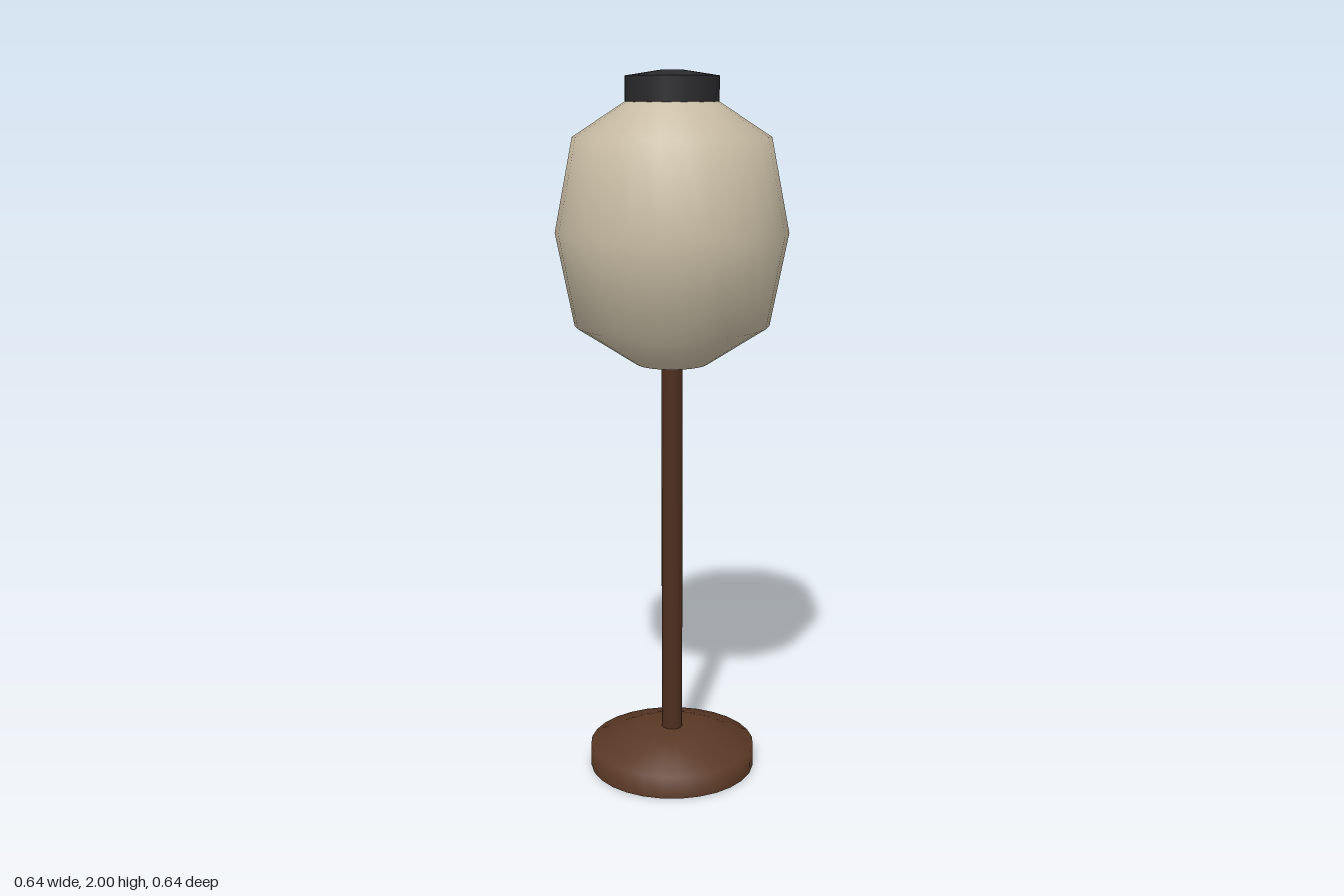
import * as THREE from 'three';

// Revolves [radius, height] points listed from bottom to top
function turned(name, profile, segments, color) {
  const points = profile.map(([r, y]) => new THREE.Vector2(r, y));
  const material = new THREE.MeshStandardMaterial({ color, side: THREE.DoubleSide });
  const mesh = new THREE.Mesh(new THREE.LatheGeometry(points, segments), material);
  mesh.name = name;
  return mesh;
}

export function createModel() {
  const lamp = new THREE.Group();
  lamp.name = 'floorLamp';
  const wood = 0x5a3825, darkWood = 0x4d2e1e, paper = 0xc8bca4, black = 0x2a2a2d;

  // Hollow foot, open underneath
  lamp.add(turned('base', [[0.24, 0], [0.24, 0.065], [0.1, 0.115], [0, 0.115]], 28, wood));

  // Pole, reaching a little way through the foot
  const pole = new THREE.Mesh(
    new THREE.CylinderGeometry(0.03, 0.03, 1.125, 16),
    new THREE.MeshStandardMaterial({ color: darkWood })
  );
  pole.name = 'pole';
  pole.position.y = 0.085 + 1.125 / 2;
  lamp.add(pole);

  // Lantern shade with flat end discs
  const shade = new THREE.Group();
  shade.name = 'shade';
  shade.add(
    turned('shadeWall', [[0.1, 1.205], [0.27, 1.315], [0.32, 1.57], [0.27, 1.825], [0.1, 1.935]], 28, paper),
    turned('shadeBottom', [[0, 1.205], [0.1, 1.205]], 28, paper),
    turned('shadeTop', [[0.1, 1.935], [0, 1.935]], 28, paper)
  );
  lamp.add(shade);

  // Cap with a shallow domed top
  const cap = new THREE.Group();
  cap.name = 'cap';
  cap.add(
    turned('capBottom', [[0, 1.91], [0.128, 1.91]], 16, black),
    turned('capWall', [[0.128, 1.91], [0.128, 1.985]], 16, black),
    turned('capTop', [[0.128, 1.985], [0.03, 2], [0, 2]], 16, black)
  );
  lamp.add(cap);

  return lamp;
}
